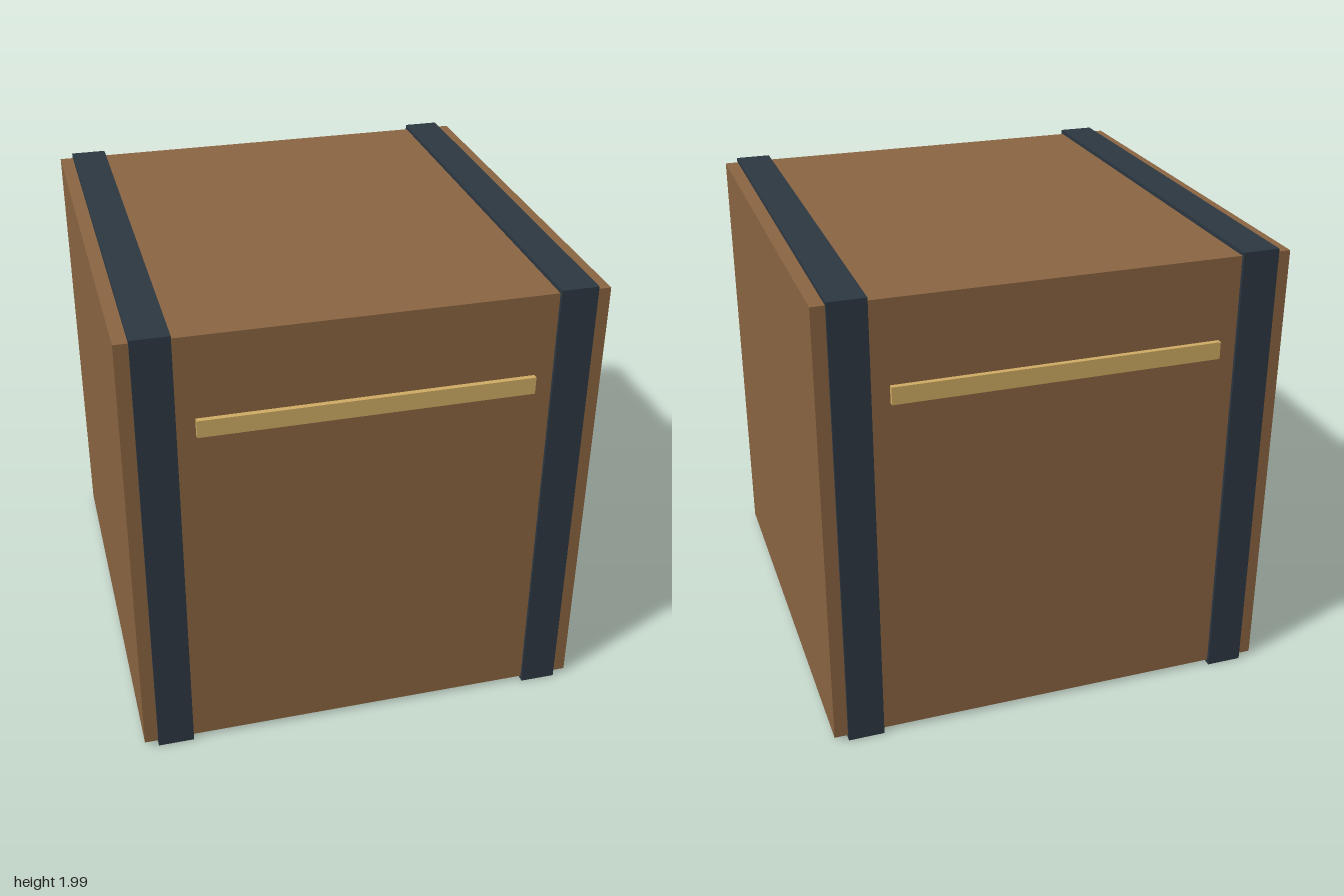
import * as THREE from 'three';

const wood = new THREE.MeshStandardMaterial({ color: 0x8b6542 });
const iron = new THREE.MeshStandardMaterial({ color: 0x2d3842 });
const brass = new THREE.MeshStandardMaterial({ color: 0xd0ac64 });

const MID_Y = 0.995;

export function createModel() {
  const crate = new THREE.Group();
  crate.name = 'crate';

  const addBox = (name, material, [w, h, d], [x, y, z]) => {
    const mesh = new THREE.Mesh(new THREE.BoxGeometry(w, h, d), material);
    mesh.name = name;
    mesh.position.set(x, y, z);
    crate.add(mesh);
  };

  // Wooden body
  addBox('body', wood, [1.955, 1.955, 1.955], [0, MID_Y, 0]);

  for (const side of [1, -1]) {
    const lr = side > 0 ? 'left' : 'right';
    const fb = side > 0 ? 'front' : 'back';
    // Band wrapping front, top, back and bottom
    addBox(lr + 'Band', iron, [0.155, 1.99, 1.985], [side * 0.842, MID_Y, 0]);
    // Slim rail on the front and back faces
    addBox(fb + 'Rail', brass, [1.375, 0.074, 0.03], [0, 1.583, side * 0.985]);
  }

  return crate;
}
